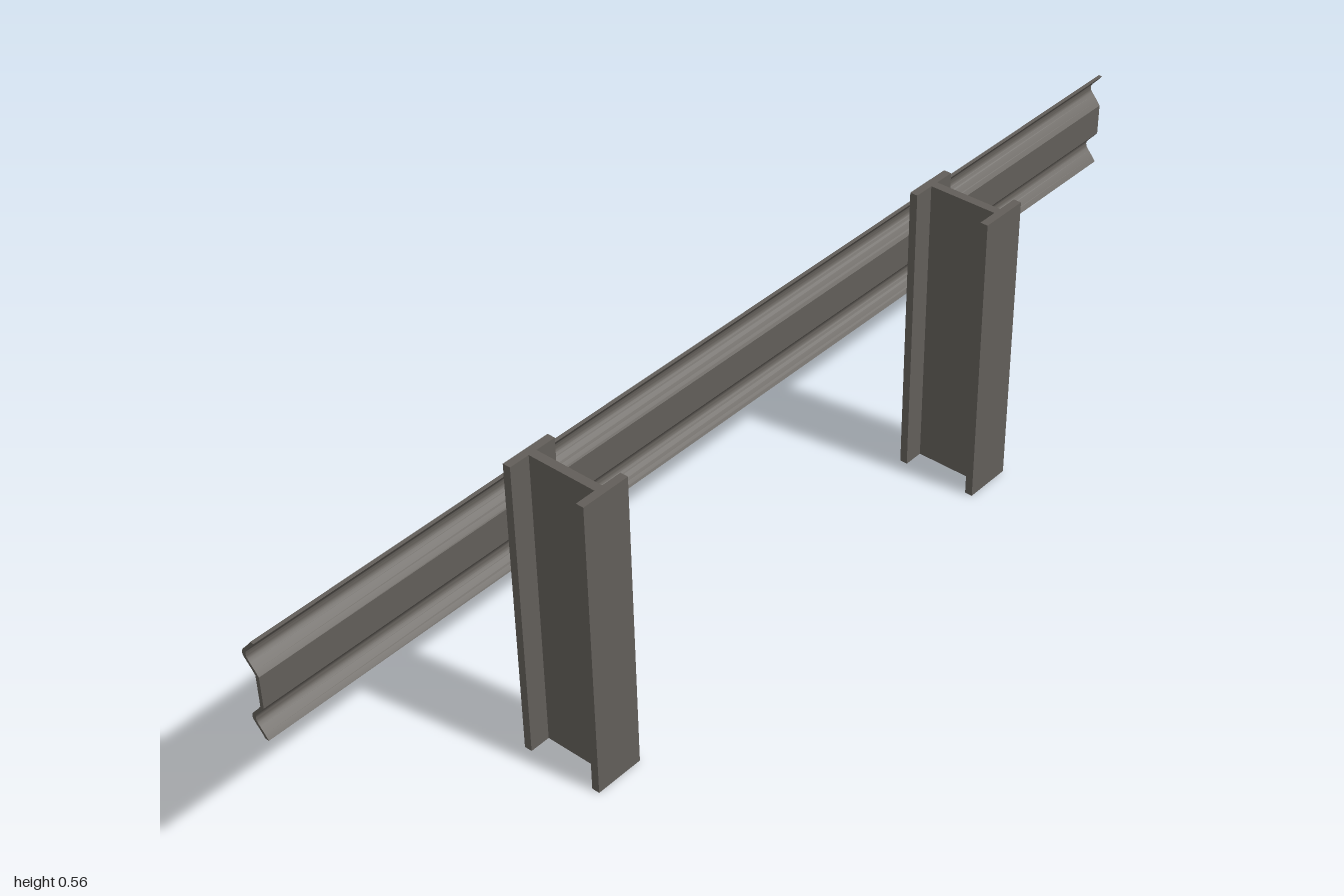
import * as THREE from 'three';
import { toCreasedNormals } from 'three/addons/utils/BufferGeometryUtils.js';

const steel = new THREE.MeshStandardMaterial({ name: 'weathered steel', color: 0x625e59 });
const amber = new THREE.MeshStandardMaterial({ name: 'faded amber paint', color: 0xa88040 });

const V = (x, y) => new THREE.Vector2(x, y);
const mesh = (name, geometry, material) => {
  const m = new THREE.Mesh(geometry, material);
  m.name = name;
  return m;
};

// Rail: double-ridged sheet profile (depth, height) swept along x
function createRail() {
  const bump = [[0.03, 0], [0.022, 0.006], [0.0125, 0.0145], [0.008, 0.0185], [0.004, 0.021], [0, 0.0215]];
  const ridge = (cy) => [
    ...bump.map(([d, z]) => V(0.065 + z, cy + d)),
    ...bump.slice(0, -1).reverse().map(([d, z]) => V(0.065 + z, cy - d)),
  ];
  const inner = [...ridge(0.505), ...ridge(0.388)];
  const outer = inner.map((p) => V(p.x + 0.007, p.y)).reverse();
  const geometry = new THREE.ExtrudeGeometry(new THREE.Shape([...inner, ...outer]), { depth: 2, bevelEnabled: false });
  geometry.translate(0, 0, -1).rotateY(Math.PI / 2);
  return mesh('rail', toCreasedNormals(geometry, 0.6), steel);
}

// Post: I-section extruded upwards
function createPost(x, name) {
  const w = 0.0465, t = 0.008, front = -0.0945, back = 0.064, f = 0.0145;
  const section = new THREE.Shape([
    V(-w, front), V(w, front), V(w, front + f), V(t, front + f),
    V(t, back - f), V(w, back - f), V(w, back), V(-w, back),
    V(-w, back - f), V(-t, back - f), V(-t, front + f), V(-w, front + f),
  ]);
  const geometry = new THREE.ExtrudeGeometry(section, { depth: 0.56, bevelEnabled: false });
  geometry.rotateX(-Math.PI / 2).translate(x, 0, 0);
  return mesh(name, geometry, steel);
}

// Stripes: slanted thin faces on the flat band, facing backwards
function createStripes() {
  const group = new THREE.Group();
  group.name = 'warningStripes';
  const lo = 0.419, hi = 0.474, slant = 0.04, width = 0.095;
  const end = (u) => Math.min(u, 1);
  const outlines = [-0.91, -0.68, -0.22, 0.01, 0.48, 0.71, 0.937].map((u) => [
    V(u, lo), V(end(u + width), lo), V(end(u + width + slant), hi), V(u + slant, hi),
  ]);
  // worn, chipped stripe
  outlines.push([V(0.25, 0.425), V(0.285, 0.419), V(0.318, 0.43), V(0.333, 0.46), V(0.31, 0.472), V(0.272, 0.468), V(0.262, 0.445)]);
  outlines.forEach((points) => {
    const geometry = new THREE.ShapeGeometry(new THREE.Shape(points));
    geometry.rotateY(Math.PI).translate(0, 0, -0.073);
    group.add(mesh('warningStripe', geometry, amber));
  });
  return group;
}

export function createModel() {
  const model = new THREE.Group();
  model.name = 'guardRail';
  model.add(createRail(), createPost(0.48, 'leftPost'), createPost(-0.48, 'rightPost'), createStripes());
  return model;
}
